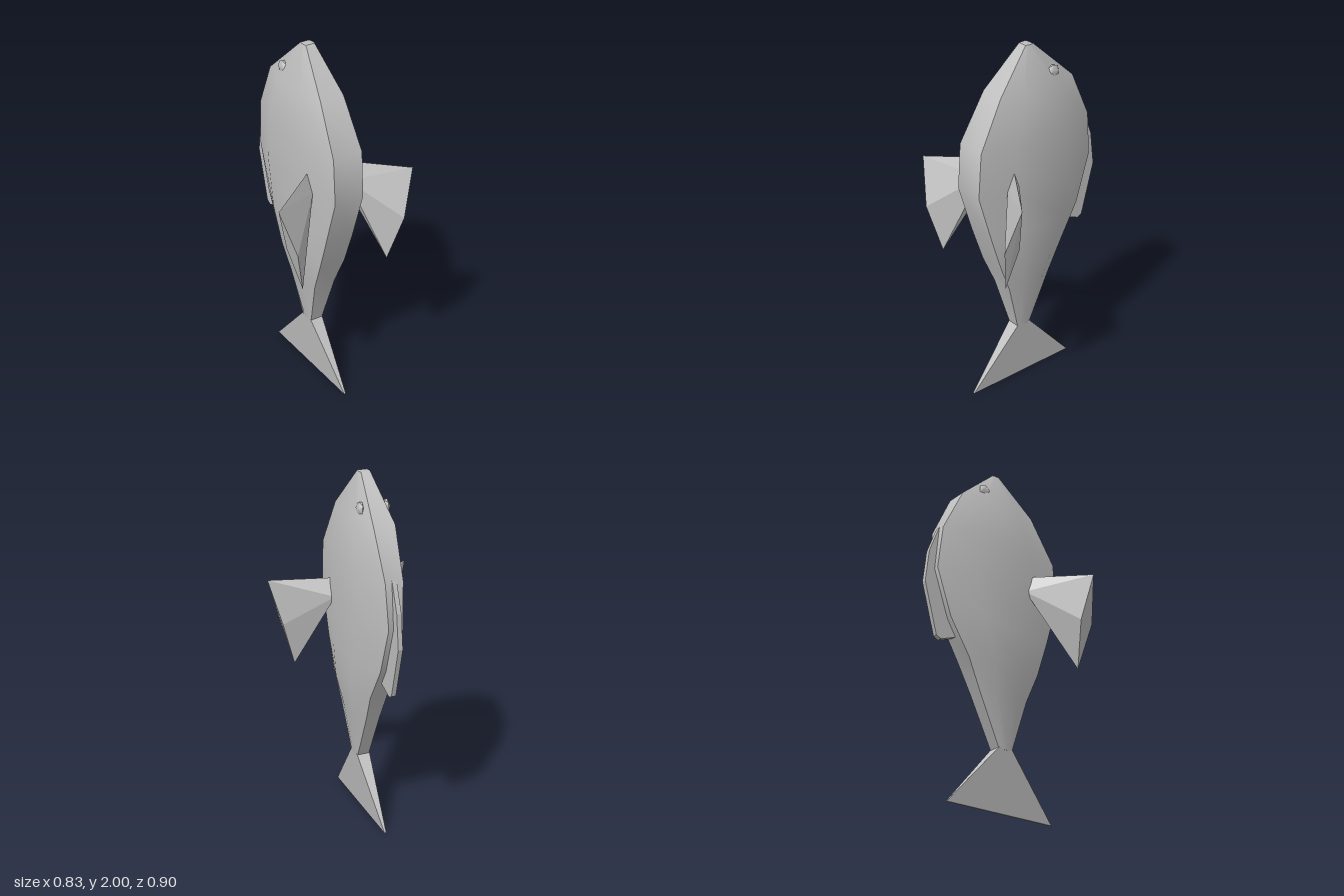
import * as THREE from 'three';
import { toCreasedNormals } from 'three/addons/utils/BufferGeometryUtils.js';
import { ConvexGeometry } from 'three/addons/geometries/ConvexGeometry.js';

// Skin a stack of equal-length rings (top to bottom), with both ends capped.
function loft(rings) {
  const n = rings[0].length;
  const index = [];
  for (let r = 0; r < rings.length - 1; r++) {
    for (let i = 0; i < n; i++) {
      const j = (i + 1) % n;
      const a = r * n + i, b = r * n + j, c = b + n, d = a + n;
      index.push(a, d, c, a, c, b);
    }
  }
  const last = (rings.length - 1) * n;
  for (let i = 1; i < n - 1; i++) {
    index.push(0, i, i + 1, last, last + i + 1, last + i);
  }
  const geo = new THREE.BufferGeometry();
  geo.setAttribute('position', new THREE.Float32BufferAttribute(rings.flat(2), 3));
  geo.setIndex(index);
  return toCreasedNormals(geo, 0.75);
}

// Eight-sided cross-section: narrow belly and back, broad flat flanks.
function section([y, zFront, zBack, w, wFront, wBack]) {
  const z1 = THREE.MathUtils.lerp(zBack, zFront, 0.73);
  const z2 = THREE.MathUtils.lerp(zBack, zFront, 0.28);
  const half = [[wFront, zFront], [w, z1], [w, z2], [wBack, zBack]];
  return [
    ...half.map(([x, z]) => [x, y, z]),
    ...half.reverse().map(([x, z]) => [-x, y, z]),
  ];
}

export function createModel() {
  const group = new THREE.Group();
  const grey = new THREE.MeshStandardMaterial({ color: 0xc0c0c0 });
  grey.name = 'grey';

  const add = (name, geometry) => {
    const mesh = new THREE.Mesh(geometry, grey);
    mesh.name = name;
    group.add(mesh);
    return mesh;
  };

  // Body, nose up: y, belly z, back z, half widths of flank, belly, back
  add('body', loft([
    [2.0, 0.05, 0.0, 0.03, 0.026, 0.026],
    [1.78, 0.25, -0.24, 0.102, 0.07, 0.06],
    [1.52, 0.395, -0.365, 0.125, 0.087, 0.05],
    [1.27, 0.415, -0.39, 0.125, 0.087, 0.04],
    [1.0, 0.335, -0.3, 0.123, 0.085, 0.045],
    [0.8, 0.27, -0.18, 0.114, 0.08, 0.05],
    [0.63, 0.2, -0.1, 0.08, 0.065, 0.04],
    [0.34, 0.12, 0.035, 0.038, 0.036, 0.034],
  ].map(section)));

  // Tail fin, thinning to a blade at the bottom
  const tailRing = (y, zFront, zBack, w) =>
    [[w, y, zFront], [w, y, zBack], [-w, y, zBack], [-w, y, zFront]];
  add('tailFin', loft([
    tailRing(0.35, 0.12, 0.035, 0.038),
    tailRing(0, 0.415, -0.28, 0.005),
  ]));

  // Dorsal fin: outline in (-z, y)
  const outline = new THREE.Shape([
    [0.3, 1.5], [0.33, 1.27], [0.22, 0.92], [0.26, 0.9], [0.34, 0.87],
    [0.37, 0.885], [0.45, 1.18], [0.427, 1.37], [0.365, 1.53],
  ].map(([u, y]) => new THREE.Vector2(u, y)));
  const dorsal = new THREE.ExtrudeGeometry(outline, { depth: 0.026, bevelEnabled: false });
  dorsal.translate(0, 0, -0.013).rotateY(Math.PI / 2);
  add('dorsalFin', dorsal);

  // Paired side fins and eyes
  for (const side of [1, -1]) {
    const name = side > 0 ? 'left' : 'right';
    add(name + 'SideFin', new ConvexGeometry([
      [0.11, 1.37, 0.2], [0.11, 1.27, 0.165], [0.11, 1.27, 0.245],
      [0.415, 1.33, 0.4], [0.335, 1.07, 0.45], [0.345, 1.07, 0.36],
      [0.27, 0.81, 0.395],
    ].map(([x, y, z]) => new THREE.Vector3(side * x, y, z))));

    const eye = add(name + 'Eye', toCreasedNormals(new THREE.IcosahedronGeometry(0.041, 0), 0.75));
    eye.scale.set(0.42, 0.95, 1);
    eye.position.set(side * 0.073, 1.84, -0.095);
    eye.rotation.z = side * 0.1;
  }
  return group;
}
